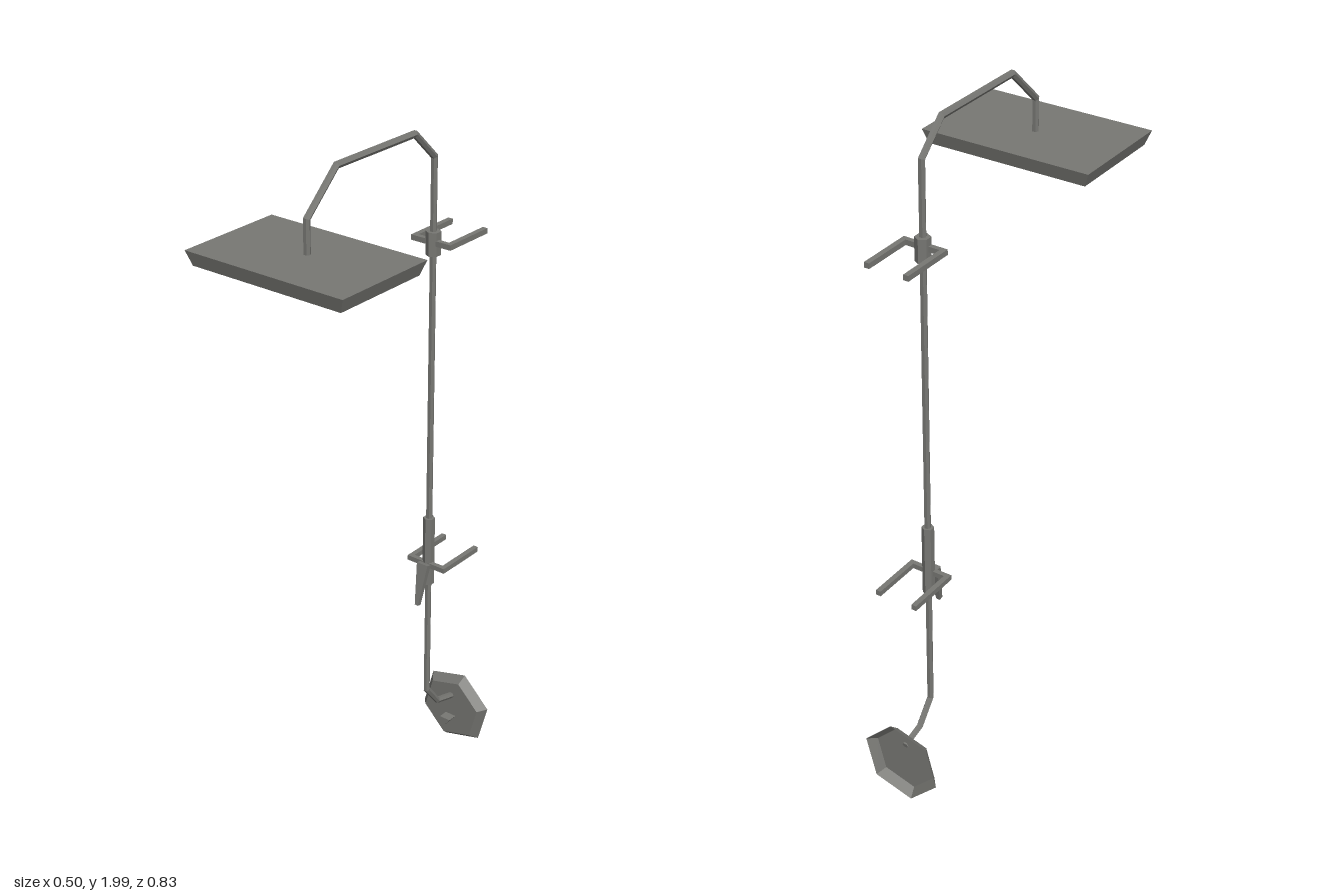
import * as THREE from 'three';

const steel = new THREE.MeshStandardMaterial({ color: 0x777773, flatShading: true, side: THREE.DoubleSide });
steel.name = 'brushed steel';

function part(name, geometry, x = 0, y = 0, z = 0, parent = null) {
  const m = new THREE.Mesh(geometry, steel);
  m.name = name;
  m.position.set(x, y, z);
  if (parent) parent.add(m);
  return m;
}

// Mitred polygonal pipe through [z, y] points in the plane x = 0
function pipeGeometry(points, radius, sides) {
  const pts = points.map(([z, y]) => new THREE.Vector2(z, y));
  const pos = [], idx = [];
  pts.forEach((p, i) => {
    const a = pts[Math.max(i - 1, 0)], b = pts[Math.min(i + 1, pts.length - 1)];
    const dIn = p.clone().sub(a).normalize(), dOut = b.clone().sub(p).normalize();
    const dir = dIn.clone().add(dOut).normalize();
    const seg = i ? dIn : dOut;
    const mitre = radius / dir.dot(seg);
    for (let k = 0; k < sides; k++) {
      const t = (k / sides) * Math.PI * 2;
      const s = Math.sin(t) * mitre;
      pos.push(Math.cos(t) * radius, p.y + dir.x * s, p.x - dir.y * s);
    }
    if (i) for (let k = 0; k < sides; k++) {
      const n = (k + 1) % sides, q = (i - 1) * sides, r = i * sides;
      idx.push(q + k, r + k, q + n, q + n, r + k, r + n);
    }
  });
  const last = (pts.length - 1) * sides;
  for (let k = 1; k < sides - 1; k++) idx.push(0, k, k + 1, last, last + k + 1, last + k);
  const g = new THREE.BufferGeometry();
  g.setAttribute('position', new THREE.Float32BufferAttribute(pos, 3));
  g.setIndex(idx);
  g.computeVertexNormals();
  return g;
}

// Scale the vertices of a box at its bottom end
function taperedBox(w, h, d, sx, sz) {
  const g = new THREE.BoxGeometry(w, h, d), p = g.attributes.position;
  for (let i = 0; i < p.count; i++) {
    if (p.getY(i) < 0) p.setXYZ(i, p.getX(i) * sx, p.getY(i), p.getZ(i) * sz);
  }
  g.computeVertexNormals();
  return g;
}

// U-shaped bracket reaching back to the wall
function wallBracket(name, y) {
  const g = new THREE.Group();
  g.name = name;
  part('bracketBar', new THREE.BoxGeometry(0.13, 0.015, 0.014), 0, y, -0.258, g);
  for (const s of [-1, 1]) {
    part('bracketArm', new THREE.BoxGeometry(0.015, 0.015, 0.15), s * 0.0575, y, -0.34, g);
  }
  return g;
}

export function createModel() {
  const model = new THREE.Group();
  model.name = 'shower';

  // Rain head, slightly narrower underneath
  part('showerHead', taperedBox(0.5, 0.04, 0.32, 0.94, 0.93), 0, 1.775, 0.252, model);

  // Riser pipe with the overhead arm and the bend into the wall plate
  part('riserPipe', pipeGeometry([
    [0.245, 1.785], [0.245, 1.885], [0.132, 1.99], [-0.178, 1.99],
    [-0.262, 1.91], [-0.266, 0.26], [-0.32, 0.192], [-0.392, 0.172],
  ], 0.0095, 6), 0, 0, 0, model);

  // Upper clamp
  part('upperClamp', new THREE.CylinderGeometry(0.021, 0.021, 0.066, 6), 0, 1.673, -0.263, model);
  model.add(wallBracket('upperBracket', 1.677));

  // Lower valve sleeve with its lever
  part('valveSleeve', new THREE.CylinderGeometry(0.017, 0.017, 0.215, 6), 0, 0.738, -0.264, model);
  model.add(wallBracket('lowerBracket', 0.697));
  const lever = part('lever', taperedBox(0.038, 0.128, 0.016, 0.3, 0.8), 0, 0.641, -0.229, model);
  lever.rotation.x = -0.21;

  // Hexagonal wall plate, bevelled in front and hollow behind
  const plate = new THREE.Group();
  plate.name = 'wallPlate';
  plate.position.set(0, 0.125, 0);
  plate.rotation.z = THREE.MathUtils.degToRad(15);
  const rim = new THREE.CylinderGeometry(0.1, 0.123, 0.025, 6, 1, true);
  rim.rotateX(Math.PI / 2).rotateZ(Math.PI / 6);
  part('plateRim', rim, 0, 0, -0.4025, plate);
  const face = new THREE.CircleGeometry(0.1, 6);
  part('plateFace', face, 0, 0, -0.39, plate);
  model.add(plate);

  // Small three-sided knob on the plate
  const knob = new THREE.CylinderGeometry(0.021, 0.021, 0.03, 3);
  knob.rotateX(Math.PI / 2);
  knob.scale(1, 0.75, 1);
  part('plateKnob', knob, 0, 0.095, -0.375, model);

  return model;
}
